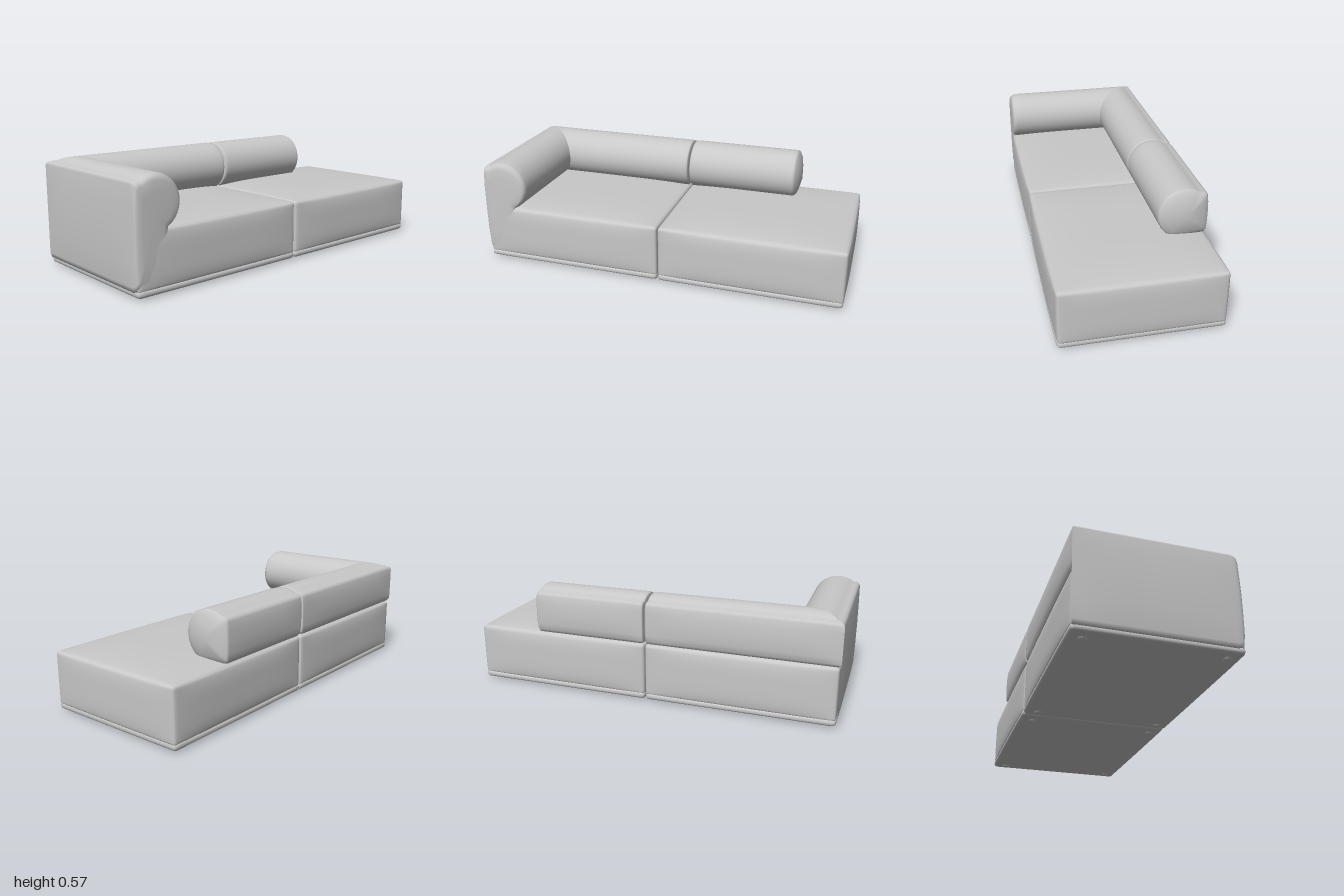
import * as THREE from 'three';
import { mergeVertices } from 'three/addons/utils/BufferGeometryUtils.js';

const OUT_X = -0.988, BACK_Z = -0.409;   // outer planes of the arm and the back

function smooth(geo) {
  geo.deleteAttribute('uv');
  geo.deleteAttribute('normal');
  const g = mergeVertices(geo, 1e-5);
  g.computeVertexNormals();
  return g;
}

// Rounded block between min and max whose faces swell by bulge [x, bottom, top, z]
function pillow(min, max, r, bulge, n = 28) {
  const half = max.map((m, i) => (m - min[i]) / 2);
  const mid = max.map((m, i) => (m + min[i]) / 2);
  const geo = new THREE.BoxGeometry(2, 2, 2, n, n, n);
  const pos = geo.attributes.position;
  const crown = (a, b) => (1 - a ** 4) * (1 - b ** 4);
  for (let i = 0; i < pos.count; i++) {
    // crowd the grid towards the edges, then round them
    const t = [pos.getX(i), pos.getY(i), pos.getZ(i)]
      .map(v => Math.sign(v) * (1 - (1 - Math.min(1, Math.abs(v))) ** 2));
    const p = t.map((v, k) => v * half[k]);
    const core = p.map((v, k) => THREE.MathUtils.clamp(v, r - half[k], half[k] - r));
    const d = new THREE.Vector3(...p.map((v, k) => v - core[k])).normalize().multiplyScalar(r);
    const q = [core[0] + d.x + t[0] * bulge[0] * crown(t[1], t[2]),
      core[1] + d.y + t[1] * (t[1] > 0 ? bulge[2] : bulge[1]) * crown(t[0], t[2]),
      core[2] + d.z + t[2] * bulge[3] * crown(t[0], t[1])];
    pos.setXYZ(i, q[0] + mid[0], q[1] + mid[1], q[2] + mid[2]);
  }
  return smooth(geo);
}

// Bolster outline: u runs inwards from the outer face, y is up
function bolsterProfile(tail) {
  const pts = [];
  for (let i = 0; i <= 24; i++) {
    const a = THREE.MathUtils.degToRad(-62 + i * 187 / 24);
    pts.push([0.115 + 0.137 * Math.cos(a), 0.435 + 0.135 * Math.sin(a)]);
  }
  return pts.concat([[0.018, 0.545], [0.006, 0.538], [0, 0.526]], tail);
}
const loose = bolsterProfile([[-0.006, 0.49], [-0.01, 0.43], [-0.006, 0.37], [0.001, 0.338], [0.012, 0.322], [0.1, 0.315]]);
const panel = bolsterProfile([[-0.006, 0.43], [-0.01, 0.3], [-0.008, 0.17], [-0.002, 0.06], [0.006, 0.035], [0.18, 0.035]]);

// Skin a profile through stations [position, scale]
function skin(profile, centre, stations, place) {
  const n = profile.length, pos = [], index = [];
  stations.forEach(([s, k]) => profile.forEach(([u, y]) =>
    pos.push(...place(centre[0] + (u - centre[0]) * k, centre[1] + (y - centre[1]) * k, s))));
  for (let i = 0; i < stations.length - 1; i++) {
    for (let j = 0; j < n; j++) {
      const a = i * n + j, b = i * n + (j + 1) % n;
      index.push(a, b, b + n, a, b + n, a + n);
    }
  }
  const geo = new THREE.BufferGeometry();
  geo.setAttribute('position', new THREE.Float32BufferAttribute(pos, 3));
  geo.setIndex(index);
  return smooth(geo);
}

const swell = (u, t) => (u < 0 ? u * Math.max(0, 1 - Math.abs(2 * t - 1) ** 4) : u);
const steps = (from, to, n) => Array.from({ length: n }, (_, i) => [from + (to - from) * i / (n - 1), 1]);

export function createModel() {
  const model = new THREE.Group();
  model.name = 'sofa';
  const fabric = new THREE.MeshStandardMaterial({ color: 0xc8c8c8 });
  fabric.name = 'grey fabric';
  const add = (name, geo) => {
    const mesh = new THREE.Mesh(geo, fabric);
    mesh.name = name;
    model.add(mesh);
    return mesh;
  };

  // Two seat modules, each with a base and four feet
  [['right', -0.98, 0.012, 0.003], ['left', 0.018, 0.988, 0.01]].forEach(([side, x0, x1, bx]) => {
    add(side + 'Seat', pillow([x0, 0.034, -0.405], [x1, 0.317, 0.405], 0.016, [bx, 0, 0.018, 0.013]));
    add(side + 'Base', pillow([x0 - 0.002, 0.008, -0.408], [x1, 0.05, 0.408], 0.02, [0, 0, 0, 0.003], 20));
    for (const x of [x0 + 0.06, x1 - 0.06]) {
      for (const z of [-0.34, 0.34]) {
        add('foot', new THREE.CylinderGeometry(0.026, 0.018, 0.012, 20)).position.set(x, 0.006, z);
      }
    }
  });

  // Back bolster of the corner module, mitred into the arm
  const END = 0.012;
  add('cornerBack', skin(loose, [0.115, 0.435],
    [[1, 0], [0.999, 0.8], [0.996, 0.95], [0.989, 0.985], ...steps(0.97, 0, 14)],
    (u, y, t) => {
      u = swell(u, t);
      return [THREE.MathUtils.lerp(OUT_X + u, END, t), y, BACK_Z + u];
    }));

  // Arm with an outer panel reaching down to the base
  const FRONT = 0.413;
  add('arm', skin(panel, [0.1, 0.36],
    [...steps(0, 0.945, 14), [0.97, 0.975], [0.985, 0.93], [0.995, 0.85], [0.999, 0.6], [1, 0]],
    (u, y, t) => {
      u = swell(u, t);
      return [OUT_X + u, y, THREE.MathUtils.lerp(BACK_Z + u, FRONT, t)];
    }));

  // Shorter back bolster with a domed free end
  const A = 0.018, B = 0.66;
  add('shortBack', skin(loose, [0.115, 0.435],
    [[1, 0], [0.992, 0.4], [0.975, 0.75], [0.955, 0.94], [0.945, 0.985], ...steps(0.93, 0.03, 14),
      [0.011, 0.985], [0.004, 0.95], [0.001, 0.8], [0, 0]],
    (u, y, t) => [THREE.MathUtils.lerp(A, B, t), y, BACK_Z + swell(u, t)]));

  return model;
}
